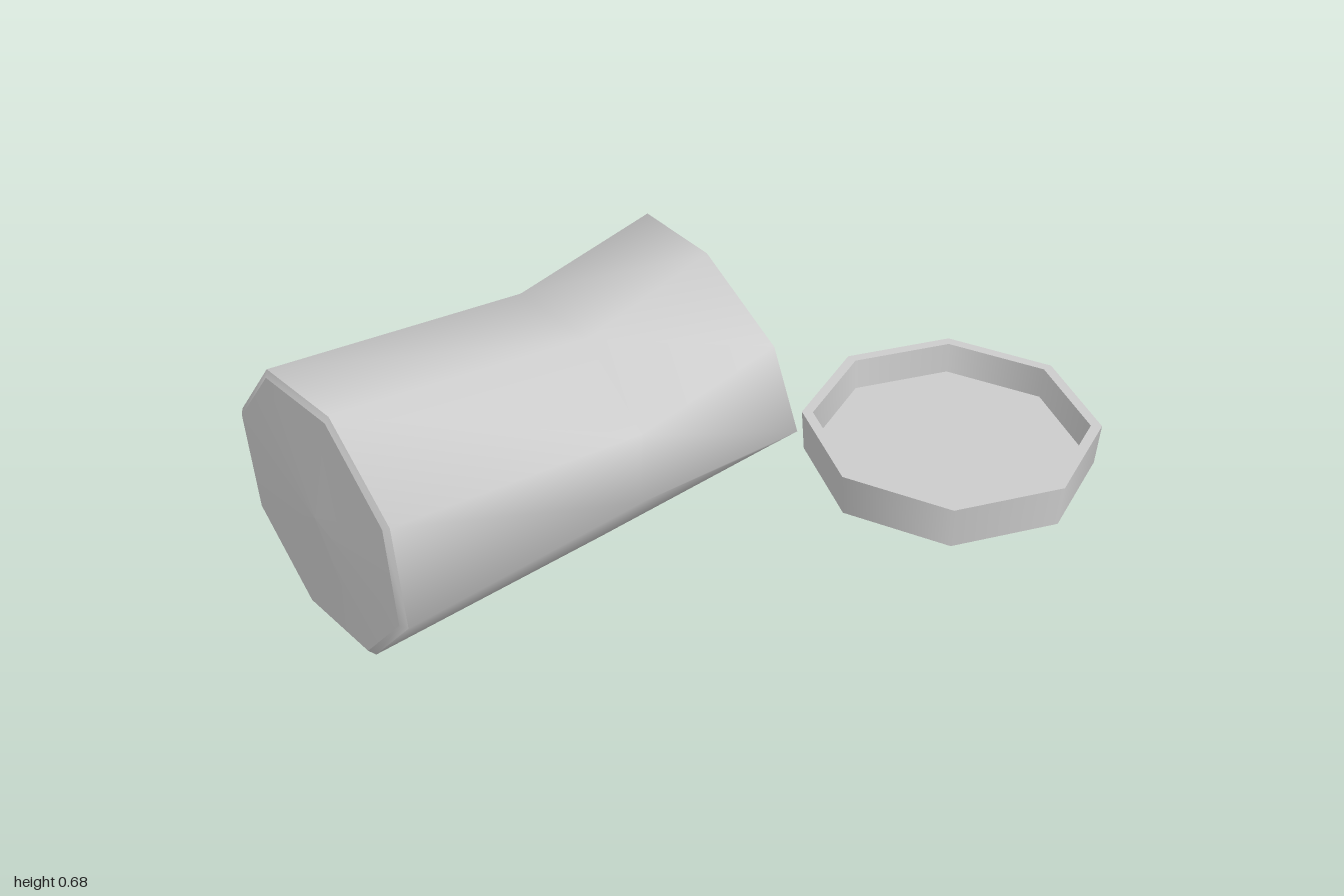
import * as THREE from 'three';

const SIDES = 8;
const material = () => new THREE.MeshStandardMaterial({ color: 0xcccccc });

// Skin a row of closed rings, smooth within one strip
function loft(rings) {
  const index = [];
  for (let i = 0; i < rings.length - 1; i++) {
    for (let j = 0; j < SIDES; j++) {
      const k = (j + 1) % SIDES;
      const a = i * SIDES + j, b = a + SIDES, c = i * SIDES + k, d = c + SIDES;
      index.push(a, b, c, b, d, c);
    }
  }
  const geometry = new THREE.BufferGeometry();
  geometry.setAttribute('position', new THREE.Float32BufferAttribute(rings.flat(2), 3));
  geometry.setIndex(index);
  geometry.computeVertexNormals();
  return geometry;
}

// Regular octagon across the can's axis, running from the top towards the back
function octagon(x, radius, tilt = 0) {
  return Array.from({ length: SIDES }, (_, j) => {
    const angle = j * Math.PI / 4 - 0.33;
    const up = radius * Math.cos(angle);
    return [x - tilt * up, 0.345 + up, -0.228 - radius * Math.sin(angle)];
  });
}

// Shrink a ring towards its middle to get the inside of the wall
function inset(ring, factor = 0.95) {
  const mid = [0, 1, 2].map(k => ring.reduce((sum, p) => sum + p[k], 0) / SIDES);
  return ring.map(p => p.map((v, k) => mid[k] + (v - mid[k]) * factor));
}

function createCan() {
  const can = new THREE.Group();
  can.name = 'crushedCan';

  const base = octagon(-0.98, 0.355, 0.02);
  const baseEdge = octagon(-0.992, 0.338, 0.01);
  // Dented fold at the waist
  const fold = [
    [-0.25, 0.53, -0.195], [-0.25, 0.53, -0.47], [-0.30, 0.38, -0.622], [-0.30, 0.163, -0.583],
    [-0.30, 0.007, -0.367], [-0.30, 0.01, -0.10], [-0.29, 0.20, 0.053], [-0.26, 0.375, 0.028],
  ];
  // Bent-up open mouth
  const mouth = [
    [0.06, 0.687, -0.115], [0.09, 0.672, -0.385], [0.155, 0.47, -0.562], [0.23, 0.207, -0.54],
    [0.255, 0.032, -0.335], [0.23, 0.045, -0.08], [0.165, 0.233, 0.11], [0.095, 0.507, 0.095],
  ];
  const floor = octagon(-0.95, 0.337);

  const parts = {
    canEnd: [octagon(-1, 0), baseEdge],
    canEndBevel: [baseEdge, base],
    canWall: [base, fold, mouth],
    canLip: [mouth, inset(mouth)],
    canInnerWall: [inset(mouth), inset(fold), floor],
    canFloor: [floor, octagon(-0.95, 0)],
  };
  for (const [name, rings] of Object.entries(parts)) {
    const mesh = new THREE.Mesh(loft(rings), material());
    mesh.name = name;
    can.add(mesh);
  }
  return can;
}

function createLid() {
  const lid = new THREE.Group();
  lid.name = 'lid';
  lid.position.set(0.607, 0, 0.227);

  // Radius and height of each profile corner, from under the lid to its floor
  const profile = [[0, 0.005], [0.384, 0.015], [0.392, 0.133], [0.363, 0.133], [0.357, 0.045], [0, 0.045]]
    .map(p => new THREE.Vector2(...p));
  const names = ['lidUnderside', 'lidOuterWall', 'lidLip', 'lidInnerWall', 'lidFloor'];
  names.forEach((name, i) => {
    const mesh = new THREE.Mesh(new THREE.LatheGeometry([profile[i], profile[i + 1]], SIDES), material());
    mesh.name = name;
    lid.add(mesh);
  });
  return lid;
}

export function createModel() {
  const model = new THREE.Group();
  model.name = 'openCan';
  model.add(createCan(), createLid());
  return model;
}
